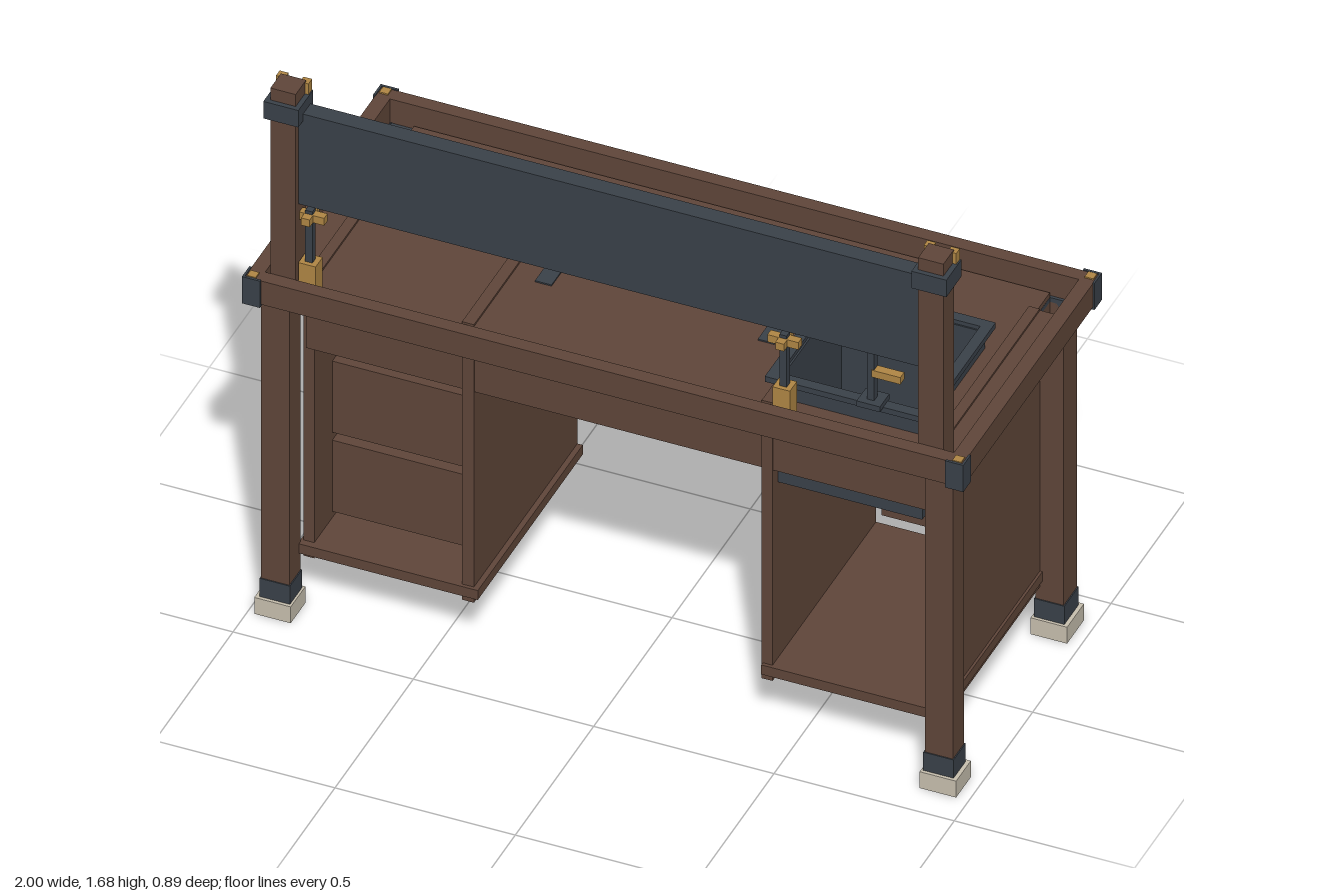
import * as THREE from 'three';

const mat = (name, color) => {
  const m = new THREE.MeshStandardMaterial({ color });
  m.name = name;
  return m;
};

export function createModel() {
  const wood = mat('brown wood', 0x61473a);
  const dark = mat('dark metal', 0x3b424a);
  const gold = mat('brass', 0xb28845);
  const beige = mat('beige', 0xcac2b1);
  const grey = mat('grey panel', 0xa3a194);
  const teal = mat('teal glass', 0x76cbcb);

  const root = new THREE.Group();
  root.name = 'workbench';

  const group = (name) => {
    const g = new THREE.Group();
    g.name = name;
    root.add(g);
    return g;
  };
  // Box given by its limits on each axis
  const box = (g, name, m, x0, x1, y0, y1, z0, z1) => {
    const mesh = new THREE.Mesh(new THREE.BoxGeometry(x1 - x0, y1 - y0, z1 - z0), m);
    mesh.position.set((x0 + x1) / 2, (y0 + y1) / 2, (z0 + z1) / 2);
    mesh.name = name;
    g.add(mesh);
  };
  // Counter-clockwise outline from x, z points
  const outline = (C, pts) => new C(pts.map(([x, z]) => new THREE.Vector2(x, -z)).reverse());
  const rect = (C, x0, x1, z0, z1) => outline(C, [[x0, z0], [x1, z0], [x1, z1], [x0, z1]]);
  // Flat shape in x and z, raised from y0 to y1
  const slab = (g, name, m, shape, y0, y1) => {
    const geo = new THREE.ExtrudeGeometry(shape, { depth: y1 - y0, bevelEnabled: false });
    geo.rotateX(-Math.PI / 2);
    const mesh = new THREE.Mesh(geo, m);
    mesh.position.y = y0;
    mesh.name = name;
    g.add(mesh);
  };
  // Hollow rectangular sleeve
  const sleeve = (g, name, m, x0, x1, y0, y1, z0, z1, tx, tz = tx) => {
    const s = rect(THREE.Shape, x0, x1, z0, z1);
    s.holes.push(rect(THREE.Path, x0 + tx, x1 - tx, z0 + tz, z1 - tz));
    slab(g, name, m, s, y0, y1);
  };
  // Upright rectangular frame facing z
  const frame = (g, name, m, x0, x1, y0, y1, z0, z1, t) => {
    box(g, name, m, x0, x0 + t, y0, y1, z0, z1);
    box(g, name, m, x1 - t, x1, y0, y1, z0, z1);
    box(g, name, m, x0 + t, x1 - t, y0, y0 + t, z0, z1);
    box(g, name, m, x0 + t, x1 - t, y1 - t, y1, z0, z1);
  };
  // Limits mirrored to the -side, with an optional sideways offset
  const mirror = (s, offset = 0) => (a, b) => (s > 0 ? [a + offset, b + offset] : [offset - b, offset - a]);

  // Raised rim and sunken work surface with openings for legs and sink
  const top = group('tabletop');
  sleeve(top, 'rim', wood, -0.995, 0.995, 1.015, 1.09, -0.437, 0.437, 0.04, 0.039);
  const surface = outline(THREE.Shape, [
    [-0.885, -0.39], [0.878, -0.39], [0.878, -0.312], [0.956, -0.312],
    [0.956, 0.325], [0.878, 0.325], [0.878, 0.39], [-0.885, 0.39],
    [-0.885, 0.325], [-0.956, 0.325], [-0.956, -0.312], [-0.885, -0.312],
  ]);
  surface.holes.push(rect(THREE.Path, 0.42, 0.815, -0.105, 0.285));
  slab(top, 'surface', wood, surface, 1.015, 1.03);
  for (const x of [-0.318, 0.3]) box(top, 'slot', dark, x - 0.023, x + 0.023, 0.995, 1.034, -0.31, 0.09);

  for (const sx of [-1, 1]) {
    const fx = mirror(sx);
    const px = mirror(sx, -0.008);
    // Corner brackets, hollow legs, cuffs and feet
    for (const sz of [-1, 1]) {
      const fz = mirror(sz);
      const zi = sz > 0 ? 0.325 : 0.311;
      const bracket = group('cornerBracket');
      box(bracket, 'bracketSide', dark, ...fx(0.994, 1), 1.01, 1.093, ...fz(0.395, 0.443));
      box(bracket, 'bracketFace', dark, ...fx(0.95, 1), 1.01, 1.093, ...fz(0.436, 0.443));
      box(bracket, 'bracketBase', dark, ...fx(0.95, 1), 1.008, 1.016, ...fz(0.395, 0.443));
      box(bracket, 'bracketStud', gold, ...fx(0.966, 0.99), 1.085, 1.094, ...fz(0.41, 0.434));
      const leg = group('leg');
      sleeve(leg, 'post', wood, ...px(0.881, 0.959), 0.05, 1.0, ...fz(zi, 0.396), 0.005);
      sleeve(leg, 'collar', dark, ...px(0.875, 0.965), 0.988, 1.014, ...fz(zi - 0.006, 0.402), 0.011);
      sleeve(leg, 'cuff', dark, ...px(0.878, 0.962), 0.05, 0.11, ...fz(zi - 0.003, 0.399), 0.008);
      box(leg, 'foot', beige, ...px(0.872, 0.973), 0, 0.052, ...fz(zi - 0.011, 0.408));
      const zb = sz > 0 ? zi : -0.396;
      box(leg, 'bolt', gold, ...px(0.91, 0.93), 0.125, 0.145, zb - 0.01, zb);
    }
    // Tall back posts with collar and studded cap
    const post = group('backPost');
    box(post, 'upright', wood, ...px(0.863, 0.933), 1.0, 1.6, 0.33, 0.397);
    box(post, 'collar', dark, ...px(0.85, 0.947), 1.588, 1.642, 0.315, 0.41);
    box(post, 'cap', wood, ...px(0.863, 0.933), 1.64, 1.68, 0.33, 0.397);
    for (const x of [0.865, 0.931]) box(post, 'capStud', gold, ...px(x - 0.012, x + 0.012), 1.64, 1.676, 0.315, 0.338);
  }

  // Cabinet shells, open at the back
  for (const sx of [-1, 1]) {
    const fx = mirror(sx);
    const cab = group(sx > 0 ? 'sinkCabinet' : 'drawerCabinet');
    box(cab, 'innerSide', wood, ...(sx > 0 ? [0.39, 0.42] : [-0.441, -0.408]), 0.15, 1.036, -0.335, 0.325);
    box(cab, 'outerSide', wood, ...fx(0.855, 0.885), 0.15, 1.036, -0.31, 0.315);
    box(cab, 'sideRail', wood, ...fx(0.88, 0.892), 0.95, 1.015, -0.31, 0.315);
    box(cab, 'floor', wood, ...fx(0.393, 0.892), 0.17, 0.2, -0.335, 0.335);
    box(cab, 'frontRail', wood, ...fx(0.393, 0.875), 0.955, 0.985, -0.335, -0.3);
    box(cab, 'backRail', wood, ...fx(0.393, 0.865), 0.955, 0.985, 0.3, 0.335);
  }
  const apron = group('backApron');
  box(apron, 'apronBoard', wood, -0.875, 0.875, 0.82, 0.995, 0.285, 0.322);

  // Horizontal pull on dark brackets
  const pull = (g, x, y, z) => {
    for (const s of [-1, 1]) box(g, 'pullBracket', dark, x + s * 0.068 - 0.014, x + s * 0.068 + 0.014, y - 0.029, y + 0.029, z - 0.04, z);
    box(g, 'pullBar', gold, x - 0.072, x + 0.072, y - 0.028, y + 0.028, z - 0.055, z - 0.035);
    box(g, 'pullGroove', dark, x - 0.035, x + 0.035, y - 0.004, y + 0.004, z - 0.057, z - 0.054);
  };

  // Deep drawers
  for (const y of [0.333, 0.585, 0.837]) {
    const d = group('drawer');
    box(d, 'drawerBox', wood, -0.86, -0.455, y - 0.113, y + 0.114, -0.35, 0.2);
    frame(d, 'drawerFrame', wood, -0.86, -0.455, y - 0.113, y + 0.114, -0.366, -0.35, 0.035);
    box(d, 'drawerPanel', grey, -0.825, -0.49, y - 0.078, y + 0.079, -0.357, -0.349);
    pull(d, -0.657, y, -0.365);
  }
  const mid = group('centreDrawer');
  box(mid, 'drawerBoard', wood, -0.36, 0.36, 0.885, 0.985, -0.32, -0.295);
  frame(mid, 'drawerFrame', wood, -0.36, 0.36, 0.885, 0.985, -0.332, -0.32, 0.033);
  box(mid, 'drawerPanel', beige, -0.327, 0.327, 0.918, 0.952, -0.327, -0.319);
  pull(mid, 0, 0.935, -0.33);

  // Sink cabinet door with hinges, handle and framed plate
  const door = group('door');
  frame(door, 'doorFrame', wood, 0.437, 0.843, 0.23, 0.945, -0.366, -0.33, 0.035);
  box(door, 'doorPanel', grey, 0.47, 0.81, 0.263, 0.912, -0.355, -0.345);
  frame(door, 'plateFrame', grey, 0.55, 0.73, 0.66, 0.84, -0.37, -0.355, 0.025);
  frame(door, 'plateInset', grey, 0.59, 0.69, 0.7, 0.8, -0.367, -0.355, 0.015);
  for (const y of [0.36, 0.797]) box(door, 'hinge', dark, 0.42, 0.482, y - 0.035, y + 0.035, -0.385, -0.325);
  for (const y of [0.52, 0.66]) box(door, 'handleBracket', dark, 0.778, 0.817, y - 0.022, y + 0.022, -0.42, -0.36);
  box(door, 'handleBar', gold, 0.775, 0.82, 0.5, 0.68, -0.442, -0.412);

  // Open sink basin with rim and drain
  const sink = group('sink');
  sleeve(sink, 'sinkRim', dark, 0.392, 0.84, 1.085, 1.102, -0.132, 0.31, 0.03);
  sleeve(sink, 'basinWall', dark, 0.415, 0.82, 0.762, 1.09, -0.11, 0.29, 0.012);
  box(sink, 'basinFloor', dark, 0.415, 0.82, 0.76, 0.775, -0.11, 0.29);
  box(sink, 'drain', wood, 0.588, 0.638, 0.774, 0.779, 0.052, 0.102);

  // Faucet with stepped spout and lever
  const tap = group('faucet');
  box(tap, 'faucetBase', dark, 0.655, 0.72, 1.1, 1.117, 0.27, 0.33);
  box(tap, 'faucetPipe', dark, 0.676, 0.696, 1.1, 1.4, 0.29, 0.312);
  [[1.37, 1.398, 0.25, 0.33], [1.375, 1.412, 0.185, 0.265], [1.36, 1.4, 0.165, 0.205],
    [1.345, 1.385, 0.148, 0.185], [1.333, 1.365, 0.133, 0.165]]
    .forEach(([y0, y1, z0, z1]) => box(tap, 'spout', dark, 0.668, 0.706, y0, y1, z0, z1));
  box(tap, 'lever', gold, 0.69, 0.77, 1.193, 1.215, 0.29, 0.315);

  // Cross-handled valves under the backboard
  for (const x of [-0.845, 0.47]) {
    const v = group('valve');
    box(v, 'valveBase', gold, x - 0.024, x + 0.024, 1.03, 1.137, 0.34, 0.385);
    box(v, 'valveStem', dark, x - 0.01, x + 0.01, 1.13, 1.3, 0.353, 0.373);
    box(v, 'valveCross', gold, x - 0.043, x + 0.043, 1.267, 1.29, 0.352, 0.374);
    box(v, 'valveCross', gold, x - 0.012, x + 0.012, 1.267, 1.29, 0.333, 0.395);
  }

  // Backboard with lit display and power outlets
  const back = group('backboard');
  box(back, 'board', dark, -0.873, 0.856, 1.32, 1.61, 0.332, 0.38);
  box(back, 'displayBack', dark, -0.39, 0.375, 1.41, 1.565, 0.3, 0.335);
  frame(back, 'displayBezel', dark, -0.39, 0.375, 1.41, 1.565, 0.288, 0.3, 0.022);
  box(back, 'displayGlass', teal, -0.365, 0.35, 1.443, 1.532, 0.278, 0.302);
  for (const x of [-0.768, -0.595, 0.565, 0.73]) {
    const o = group('outlet');
    box(o, 'outletBase', beige, x - 0.06, x + 0.06, 1.4, 1.557, 0.295, 0.333);
    box(o, 'outletFace', beige, x - 0.05, x + 0.05, 1.411, 1.546, 0.29, 0.296);
    for (const s of [-1, 1]) box(o, 'outletSlot', dark, x + s * 0.022 - 0.007, x + s * 0.022 + 0.007, 1.485, 1.517, 0.288, 0.291);
    box(o, 'outletHole', dark, x - 0.009, x + 0.009, 1.437, 1.458, 0.288, 0.291);
  }
  return root;
}
